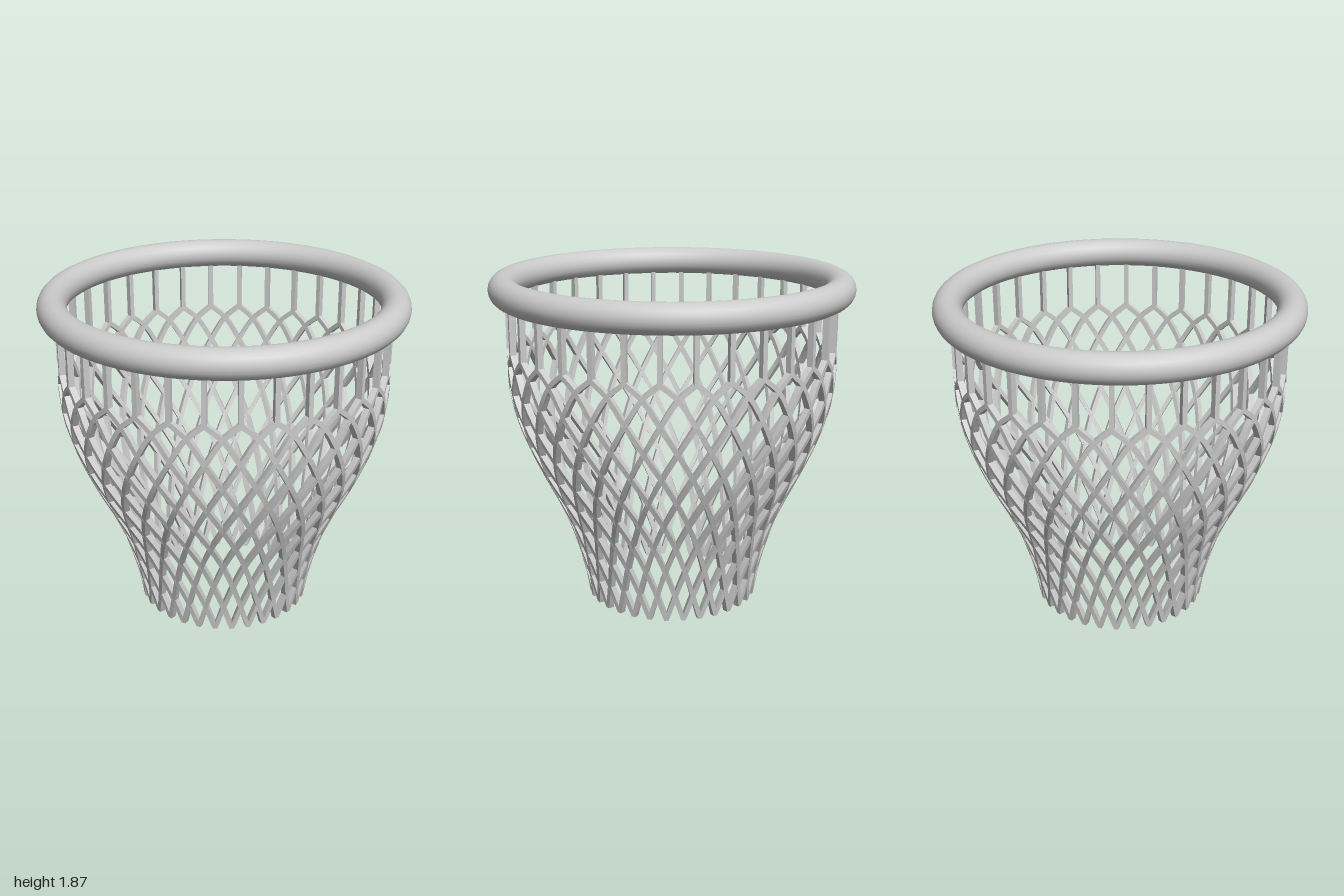
import * as THREE from 'three';

const COUNT = 32;                       // cords around the hoop
const STEP = (Math.PI * 2) / COUNT;
const WIDTH = 0.026, DEPTH = 0.034;     // cord section: along the net, through the net

// Net nodes, half a cord spacing apart: [height, radius]
const NODES = [
  [1.455, 0.893], [1.38, 0.893], [1.24, 0.887], [1.09, 0.855], [0.94, 0.803], [0.785, 0.735],
  [0.63, 0.658], [0.475, 0.588], [0.315, 0.536], [0.155, 0.494], [0, 0.468],
];

const around = (angle, y, r) => new THREE.Vector3(Math.sin(angle) * r, y, Math.cos(angle) * r);

// Sweep a rectangular section along a curve, keeping its depth pointing away from the axis
function cordGeometry(curve, segments) {
  const box = new THREE.BoxGeometry(1, 1, 1, 1, segments, 1);
  const pos = box.attributes.position;
  for (let i = 0; i < pos.count; i++) {
    const t = THREE.MathUtils.clamp(0.5 - pos.getY(i), 0, 1);
    const p = curve.getPoint(t);
    const tangent = curve.getTangent(t);
    const side = new THREE.Vector3(p.x, 0, p.z).cross(tangent).normalize();
    const out = tangent.clone().cross(side).normalize();
    p.addScaledVector(side, -pos.getX(i) * WIDTH).addScaledVector(out, pos.getZ(i) * DEPTH);
    pos.setXYZ(i, p.x, Math.max(p.y, 0), p.z);
  }
  const geometry = box.toNonIndexed();
  geometry.computeVertexNormals();
  return geometry;
}

export function createModel() {
  const model = new THREE.Group();
  model.name = 'hoopWithNet';
  const material = new THREE.MeshStandardMaterial({ color: 0xcccccc });
  const cordMaterial = new THREE.MeshStandardMaterial({ color: 0xcccccc, side: THREE.DoubleSide });

  // Rim
  const rim = new THREE.Mesh(new THREE.TorusGeometry(0.918, 0.08, 20, 96), material);
  rim.name = 'rim';
  rim.rotation.x = Math.PI / 2;
  rim.position.y = 1.785;
  model.add(rim);

  // Repeat one cord around the axis
  const ring = (name, geometry) => {
    const group = new THREE.Group();
    group.name = name;
    for (let i = 0; i < COUNT; i++) {
      const mesh = new THREE.Mesh(geometry, cordMaterial);
      mesh.name = name + 'Cord';
      mesh.rotation.y = i * STEP;
      group.add(mesh);
    }
    model.add(group);
  };

  // Upright hangers between rim and net
  ring('hangers', cordGeometry(new THREE.LineCurve3(around(0, 1.77, 0.893), around(0, 1.445, 0.893)), 1));

  // Two opposite families of spiralling cords make the diamonds
  for (const [name, dir] of [['leftSpiral', 1], ['rightSpiral', -1]]) {
    const points = NODES.map(([y, r], i) => around(dir * i * STEP / 2, y, r));
    ring(name, cordGeometry(new THREE.CatmullRomCurve3(points), 30));
  }
  return model;
}
